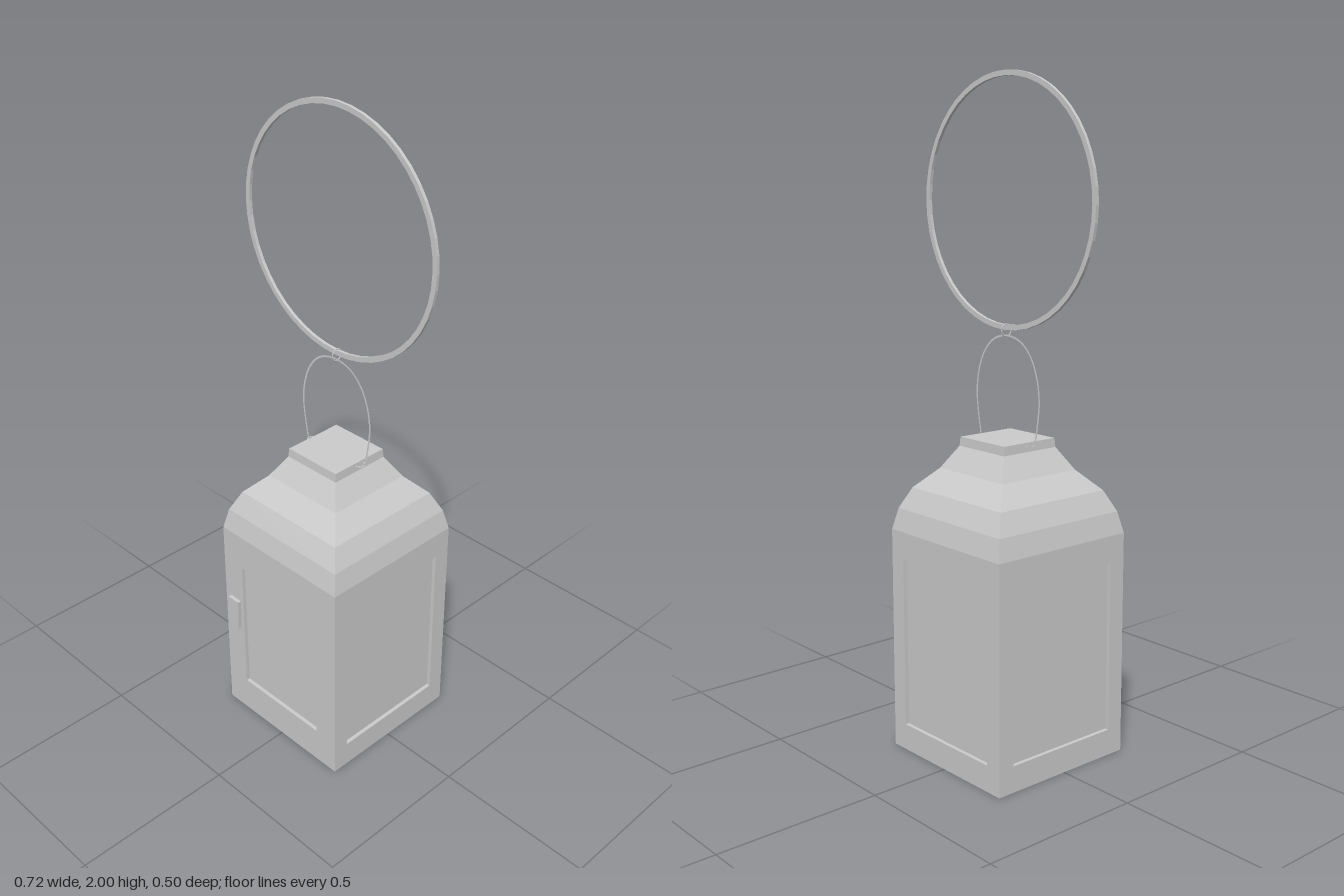
import * as THREE from 'three';

const HALF = 0.2425;   // half width of the square body
const WALL = 0.68;     // height of the straight walls
const RECESS = 0.012;  // depth of the side panels

export function createModel() {
  const group = new THREE.Group();
  group.position.set(-0.003, 0, -0.007);
  const model = new THREE.Group();
  model.add(group);

  const solid = new THREE.MeshStandardMaterial({ color: 0xcccccc, flatShading: true });
  const smooth = new THREE.MeshStandardMaterial({ color: 0xcccccc });
  const thin = new THREE.MeshStandardMaterial({ color: 0xcccccc, side: THREE.DoubleSide });

  const add = (name, geometry, material = solid) => {
    const mesh = new THREE.Mesh(geometry, material);
    mesh.name = name;
    group.add(mesh);
    return mesh;
  };

  // Inner box: its faces are the recessed panels
  const core = 2 * (HALF - RECESS);
  add('bodyCore', new THREE.BoxGeometry(core, WALL, core)).position.y = WALL / 2;

  // Frame with a rectangular opening, one on each side
  const frame = (name, half, hx, y0, y1, turn) => {
    const rect = (w, a, b) => [[-w, a], [w, a], [w, b], [-w, b]].map(p => new THREE.Vector2(...p));
    const shape = new THREE.Shape(rect(half, 0, WALL));
    shape.holes.push(new THREE.Path(rect(hx, y0, y1).reverse()));
    const geo = new THREE.ExtrudeGeometry(shape, { depth: RECESS, bevelEnabled: false });
    geo.translate(0, 0, HALF - RECESS).rotateY(turn);
    add(name, geo);
  };
  frame('frontFrame', HALF, 0.163, 0.115, 0.565, 0);
  frame('backFrame', HALF, 0.189, 0.08, 0.6, Math.PI);
  frame('leftFrame', HALF - RECESS, 0.189, 0.08, 0.6, Math.PI / 2);
  frame('rightFrame', HALF - RECESS, 0.189, 0.08, 0.6, -Math.PI / 2);

  // Stepped four-sided roof with a flat top
  const roofProfile = [
    [HALF, WALL], [0.228, 0.745], [0.198, 0.808], [0.14, 0.868],
    [0.099, 0.935], [0.097, 0.962], [0, 0.962],
  ].map(([r, y]) => new THREE.Vector2(r * Math.SQRT2, y));
  add('roof', new THREE.LatheGeometry(roofProfile, 4, Math.PI / 4));

  // Door latch, narrowing a little downwards
  const latch = new THREE.BoxGeometry(0.046, 0.106, 0.02);
  const p = latch.attributes.position;
  for (let i = 0; i < p.count; i++) if (p.getY(i) < 0) p.setX(i, p.getX(i) * 0.85);
  latch.computeVertexNormals();
  add('latch', latch).position.set(-0.197, 0.378, HALF + 0.002);

  // Half-round lugs on the neck
  for (const [name, side] of [['leftLug', 1], ['rightLug', -1]]) {
    const lug = add(name, new THREE.RingGeometry(0.014, 0.018, 16, 1, -Math.PI / 2, Math.PI)
      .rotateX(-Math.PI / 2), thin);
    lug.position.set(side * 0.097, 0.953, 0);
    if (side < 0) lug.rotation.y = Math.PI;
  }

  // Flat wire handle: a ribbon following an arch
  const halfArch = [[0.118, 0.952], [0.13, 1.02], [0.136, 1.085], [0.126, 1.15], [0.1, 1.207], [0.058, 1.246]];
  const archPoints = [...halfArch, [0, 1.26], ...halfArch.map(([x, y]) => [-x, y]).reverse()];
  const arch = new THREE.SplineCurve(archPoints.map(q => new THREE.Vector2(...q)));
  const inner = [], outer = [];
  for (let i = 0; i <= 48; i++) {
    const c = arch.getPoint(i / 48), t = arch.getTangent(i / 48);
    const n = new THREE.Vector2(t.y, -t.x).multiplyScalar(0.003);
    outer.push(c.clone().add(n));
    inner.push(c.clone().sub(n));
  }
  add('handle', new THREE.ShapeGeometry(new THREE.Shape([...outer, ...inner.reverse()])), thin);

  // Small link between handle and hanging ring
  const link = add('link', new THREE.TorusGeometry(0.018, 0.002, 6, 20).rotateY(Math.PI / 2), smooth);
  link.position.set(0.004, 1.275, 0);

  // Large hanging ring with a rectangular section
  const section = [[0.347, -0.005], [0.362, -0.005], [0.362, 0.005], [0.347, 0.005], [0.347, -0.005]]
    .map(q => new THREE.Vector2(...q));
  const ring = add('hangingRing', new THREE.LatheGeometry(section, 48).rotateX(Math.PI / 2));
  ring.position.set(0.003, 1.638, 0);

  return model;
}
